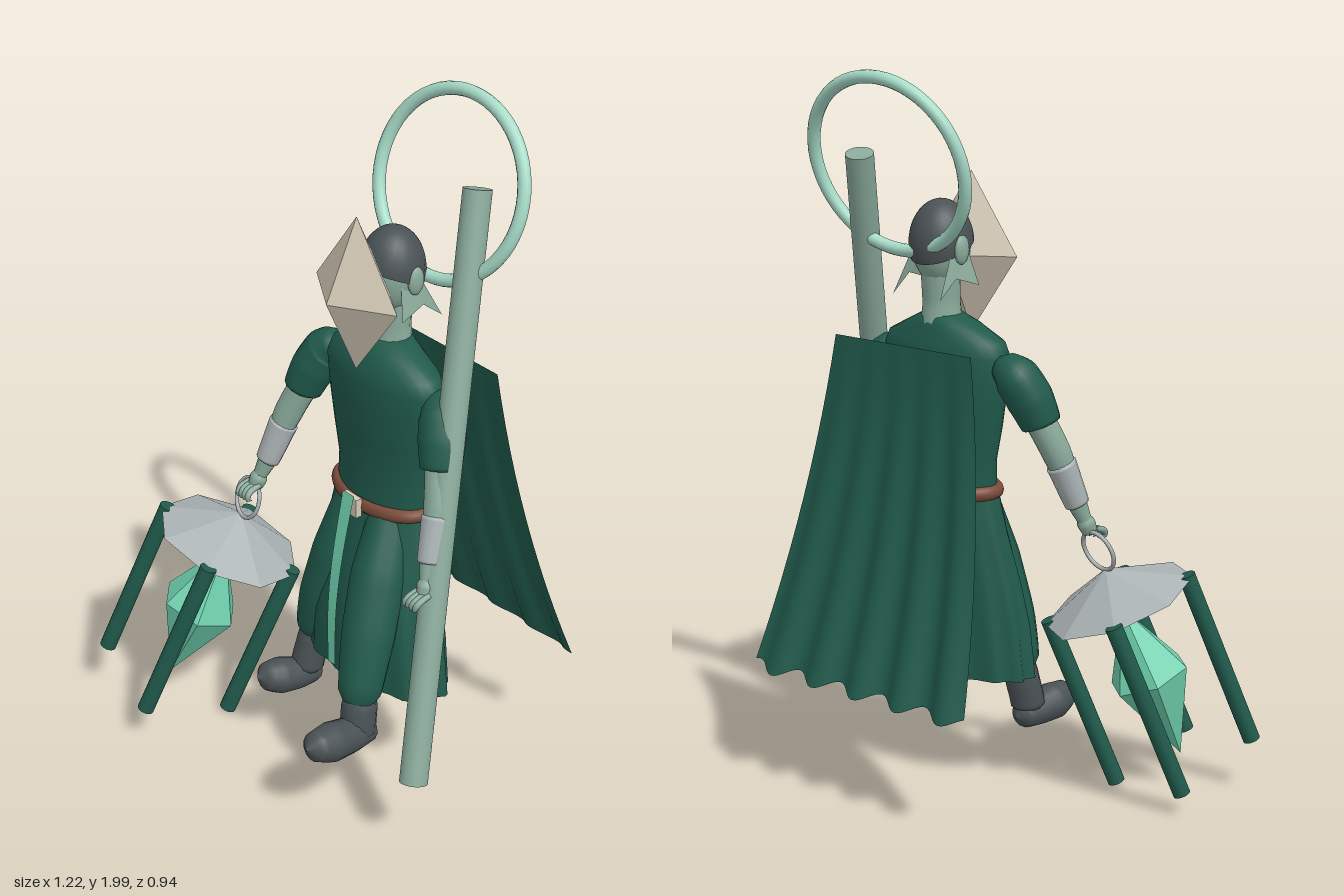
import * as THREE from 'three';
import { mergeVertices } from 'three/addons/utils/BufferGeometryUtils.js';

const V = (x, y, z) => new THREE.Vector3(x, y, z);

function material(name, color, side = THREE.FrontSide) {
  const m = new THREE.MeshStandardMaterial({ color, side });
  m.name = name;
  return m;
}

// weld the seams and shade smoothly
function smooth(geo) {
  geo.deleteAttribute('uv');
  geo.deleteAttribute('normal');
  const g = mergeVertices(geo, 1e-5);
  g.computeVertexNormals();
  return g;
}

// hard facets
function faceted(geo) {
  const g = geo.index ? geo.toNonIndexed() : geo;
  g.computeVertexNormals();
  return g;
}

// tube of varying radius; each point is [x, y, z, radius]
function limb(points, rings = 20, sides = 14) {
  const curve = new THREE.CatmullRomCurve3(points.map(p => V(p[0], p[1], p[2])), false, 'centripetal');
  const geo = new THREE.TubeGeometry(curve, rings, 1, sides);
  const pos = geo.attributes.position, v = V();
  for (let i = 0; i <= rings; i++) {
    const c = curve.getPointAt(i / rings);
    const t = curve.getUtoTmapping(i / rings) * (points.length - 1);
    const k = Math.min(Math.floor(t), points.length - 2);
    const r = Math.max(0.0008, THREE.MathUtils.lerp(points[k][3], points[k + 1][3], t - k));
    for (let j = 0; j <= sides; j++) {
      const n = i * (sides + 1) + j;
      v.fromBufferAttribute(pos, n).sub(c).multiplyScalar(r).add(c);
      pos.setXYZ(n, v.x, v.y, v.z);
    }
  }
  return smooth(geo);
}

// stacked ellipses from bottom to top; each ring is [y, rx, rz, cx, cz]
function stack(rings, sides, folds = 0, depth = 0) {
  const geo = new THREE.LatheGeometry(rings.map(r => new THREE.Vector2(1, r[0])), sides);
  const pos = geo.attributes.position;
  for (let i = 0; i < pos.count; i++) {
    const [y, rx, rz, cx, cz] = rings[i % rings.length];
    const x = pos.getX(i), z = pos.getZ(i);
    const fade = 1 - (i % rings.length) / (rings.length - 1);
    const k = 1 + depth * fade * Math.cos(folds * Math.atan2(x, z));
    pos.setXYZ(i, cx + x * rx * k, y, cz + z * rz * k);
  }
  return smooth(geo);
}

function rod(a, b, r, sides = 16) {
  const d = b.clone().sub(a);
  const geo = new THREE.CylinderGeometry(r, r, d.length(), sides);
  geo.applyQuaternion(new THREE.Quaternion().setFromUnitVectors(V(0, 1, 0), d.normalize()));
  const mid = a.clone().add(b).multiplyScalar(0.5);
  return geo.translate(mid.x, mid.y, mid.z);
}

export function createModel() {
  const model = new THREE.Group();
  const robe = material('dark green cloth', 0x205a4b, THREE.DoubleSide);
  const sage = material('sage', 0x8aaa9b, THREE.DoubleSide);
  const halo = material('pale mint', 0xa8dcc9);
  const mint = material('bright mint', 0x6fd0ae, THREE.DoubleSide);
  const bone = material('bone', 0xd2c8b5);
  const charcoal = material('charcoal', 0x4a5255, THREE.DoubleSide);
  const silver = material('silver', 0xabb3b4);
  const leather = material('brown leather', 0x7c4b3a);

  const add = (name, geo, mat, parent = model) => {
    const m = new THREE.Mesh(geo, mat);
    m.name = name;
    parent.add(m);
    return m;
  };

  // halo behind the head
  const ring = add('halo', new THREE.TorusGeometry(0.247, 0.018, 12, 56), halo);
  ring.position.set(0.19, 1.742, -0.23);
  ring.rotation.set(-0.29, 0.08, 0);

  // head, hair and diamond mask
  const head = new THREE.Group();
  head.name = 'head';
  head.position.set(0.13, 1.525, -0.09);
  model.add(head);
  add('skull', new THREE.SphereGeometry(1, 24, 18).scale(0.078, 0.118, 0.082), sage, head);
  add('hair', new THREE.SphereGeometry(1, 24, 14, 0, Math.PI * 2, 0, Math.PI * 0.54)
    .rotateX(-0.3).scale(0.087, 0.12, 0.09), charcoal, head);
  add('neck', limb([[0, -0.24, 0, 0.06], [0, -0.16, 0, 0.052], [0, -0.04, -0.005, 0.055]]), sage, head);
  add('mask', faceted(new THREE.OctahedronGeometry(1).scale(0.163, 0.22, 0.1)), bone, head)
    .position.set(0, -0.037, 0.122);
  for (const s of [-1, 1]) {
    add('ear', new THREE.SphereGeometry(1, 12, 10).scale(0.014, 0.04, 0.026), sage, head)
      .position.set(s * 0.082, -0.01, -0.01);
    // notched fin below the ear
    const fin = new THREE.BufferGeometry();
    fin.setAttribute('position', new THREE.Float32BufferAttribute([
      s * 0.07, -0.02, 0.03, s * 0.07, -0.02, -0.04, s * 0.085, -0.135, -0.1,
      s * 0.085, -0.085, -0.035, s * 0.095, -0.11, 0.045], 3));
    fin.setIndex([0, 1, 3, 1, 2, 3, 0, 3, 4]);
    add('earFin', faceted(fin), sage, head);
  }

  // torso and skirt
  add('torso', stack([
    [0.85, 0.163, 0.09, 0.13, -0.07], [0.94, 0.165, 0.085, 0.13, -0.072],
    [1.04, 0.188, 0.092, 0.13, -0.074], [1.15, 0.203, 0.1, 0.13, -0.072],
    [1.23, 0.212, 0.098, 0.13, -0.07], [1.27, 0.195, 0.088, 0.13, -0.07],
    [1.31, 0.115, 0.072, 0.13, -0.075], [1.335, 0.06, 0.055, 0.13, -0.085],
    [1.34, 0.001, 0.001, 0.13, -0.085]], 32), robe);
  const skirtRings = [
    [0.335, 0.272, 0.125, 0.145, -0.03], [0.48, 0.255, 0.125, 0.143, -0.033],
    [0.6, 0.23, 0.115, 0.14, -0.042], [0.74, 0.195, 0.1, 0.134, -0.06],
    [0.87, 0.165, 0.09, 0.13, -0.07]];
  add('skirt', stack(skirtRings, 72, 14, 0.035), robe);

  // belt, buckle and hanging sash
  add('belt', new THREE.TorusGeometry(0.162, 0.02, 10, 40).rotateX(Math.PI / 2)
    .scale(1, 1, 0.6), leather).position.set(0.13, 0.857, -0.07);
  add('buckle', new THREE.BoxGeometry(0.062, 0.055, 0.02), bone).position.set(0.13, 0.857, 0.045);
  const sash = new THREE.PlaneGeometry(0.046, 0.53, 1, 10);
  const sp = sash.attributes.position;
  for (let i = 0; i < sp.count; i++) {
    const t = (0.265 - sp.getY(i)) / 0.53;
    sp.setXYZ(i, 0.13 + sp.getX(i) * (1 - 0.35 * t), 0.895 - 0.53 * t,
      0.056 + 0.06 * Math.sin(Math.min(t * 1.25, 1) * Math.PI / 2));
  }
  sash.computeVertexNormals();
  add('sash', sash, mint);

  // cape, fluted towards the hem
  const cape = new THREE.PlaneGeometry(1, 1, 60, 12);
  const cp = cape.attributes.position;
  for (let i = 0; i < cp.count; i++) {
    const u = cp.getX(i) * 2, t = 0.5 - cp.getY(i);
    const wave = Math.cos((u + 1) * Math.PI * 5 + 0.6);
    cp.setXYZ(i, 0.14 - 0.009 * t + u * (0.245 + 0.141 * t),
      1.265 - 0.915 * t + 0.012 * t * wave,
      -0.238 - 0.085 * t - 0.13 * t * t + 0.018 * t * wave);
  }
  cape.computeVertexNormals();
  add('cape', cape, robe);

  // arms, mirrored about the shoulders
  for (const s of [-1, 1]) {
    const arm = new THREE.Group();
    arm.name = s > 0 ? 'leftArm' : 'rightArm';
    model.add(arm);
    const at = pts => pts.map(([x, y, z, r]) => [0.115 + s * x, y, z, r]);
    add('sleeve', limb(at([[0.175, 1.235, -0.08, 0.001], [0.195, 1.22, -0.08, 0.04],
      [0.235, 1.19, -0.075, 0.062], [0.265, 1.13, -0.052, 0.064],
      [0.287, 1.06, -0.03, 0.054], [0.288, 1.055, -0.029, 0]]), 26), robe, arm);
    add('forearm', limb(at([[0.28, 1.08, -0.035, 0.042], [0.315, 0.98, 0, 0.04],
      [0.345, 0.83, 0.055, 0.026], [0.355, 0.79, 0.07, 0.02]])), sage, arm);
    add('bracer', limb(at([[0.32, 0.955, 0.008, 0.03], [0.321, 0.953, 0.009, 0.043],
      [0.345, 0.832, 0.054, 0.033], [0.346, 0.83, 0.055, 0.02]])), silver, arm);
    add('palm', limb(at([[0.352, 0.81, 0.064, 0.012], [0.357, 0.78, 0.075, 0.026],
      [0.361, 0.755, 0.085, 0.022], [0.363, 0.742, 0.09, 0]]), 12, 10), sage, arm);
    for (let f = 0; f < 4; f++) {
      const x = 0.34 + f * 0.014;
      add('finger', limb(at([[x, 0.765, 0.085, 0.008], [x, 0.755, 0.12, 0.009],
        [x - 0.004, 0.738, 0.132, 0.008], [x - 0.006, 0.73, 0.118, 0]]), 10, 8), sage, arm);
    }
  }

  // legs and boots
  const legs = {
    left: {
      leg: [[0.2, 0.84, -0.04, 0.06], [0.235, 0.68, 0.035, 0.078], [0.27, 0.53, 0.1, 0.075],
        [0.3, 0.38, 0.155, 0.06], [0.304, 0.355, 0.163, 0.045]],
      shaft: [[0.3, 0.385, 0.15, 0.04], [0.305, 0.34, 0.16, 0.05], [0.31, 0.265, 0.17, 0.05], [0.31, 0.23, 0.17, 0]],
      foot: [[0.307, 0.25, 0.115, 0], [0.309, 0.255, 0.135, 0.04], [0.315, 0.265, 0.2, 0.05],
        [0.325, 0.282, 0.28, 0.056], [0.332, 0.298, 0.34, 0.042], [0.335, 0.305, 0.372, 0]],
    },
    right: {
      leg: [[0.06, 0.84, -0.04, 0.06], [0.025, 0.65, 0, 0.075], [-0.02, 0.48, 0.02, 0.07],
        [-0.05, 0.36, 0.025, 0.055], [-0.052, 0.34, 0.025, 0.04]],
      shaft: [[-0.05, 0.37, 0.025, 0.04], [-0.053, 0.32, 0.03, 0.048], [-0.06, 0.23, 0.05, 0.048], [-0.06, 0.185, 0.05, 0]],
      foot: [[-0.06, 0.2, 0.0, 0], [-0.061, 0.203, 0.02, 0.036], [-0.066, 0.208, 0.075, 0.046],
        [-0.077, 0.22, 0.14, 0.053], [-0.083, 0.232, 0.185, 0.04], [-0.085, 0.238, 0.212, 0]],
    },
  };
  for (const [side, l] of Object.entries(legs)) {
    add(side + 'Leg', limb(l.leg), robe);
    add(side + 'BootShaft', limb(l.shaft), charcoal);
    add(side + 'BootFoot', limb(l.foot, 24), charcoal);
  }

  // staff
  add('staff', rod(V(0.575, 0.255, 0.197), V(0.29, 1.765, -0.235), 0.039, 20), sage);

  // swinging lantern, built upright and tilted as one
  const lantern = new THREE.Group();
  lantern.name = 'lantern';
  const up = V(0.235, 0.93, -0.29).normalize();
  const across = V(0.96, -0.17, 0.21).normalize();
  const out = across.clone().cross(up).normalize();
  lantern.quaternion.setFromRotationMatrix(
    new THREE.Matrix4().makeBasis(up.clone().cross(out), up, out));
  lantern.position.set(-0.31, 0.56, 0.135);
  model.add(lantern);
  add('canopy', faceted(new THREE.ConeGeometry(0.215, 0.1, 8)), silver, lantern).position.y = 0.05;
  add('handleRing', new THREE.TorusGeometry(0.058, 0.006, 8, 32), silver, lantern).position.y = 0.155;
  for (const x of [-1, 1]) for (const z of [-1, 1])
    add('post', rod(V(x * 0.141, -0.51, z * 0.141), V(x * 0.141, 0.01, z * 0.141), 0.024), robe, lantern);
  const gem = [[0, -0.485], [0.115, -0.235], [0, -0.02]].map(p => new THREE.Vector2(...p));
  add('crystal', faceted(new THREE.LatheGeometry(gem, 6)), mint, lantern);

  return model;
}
